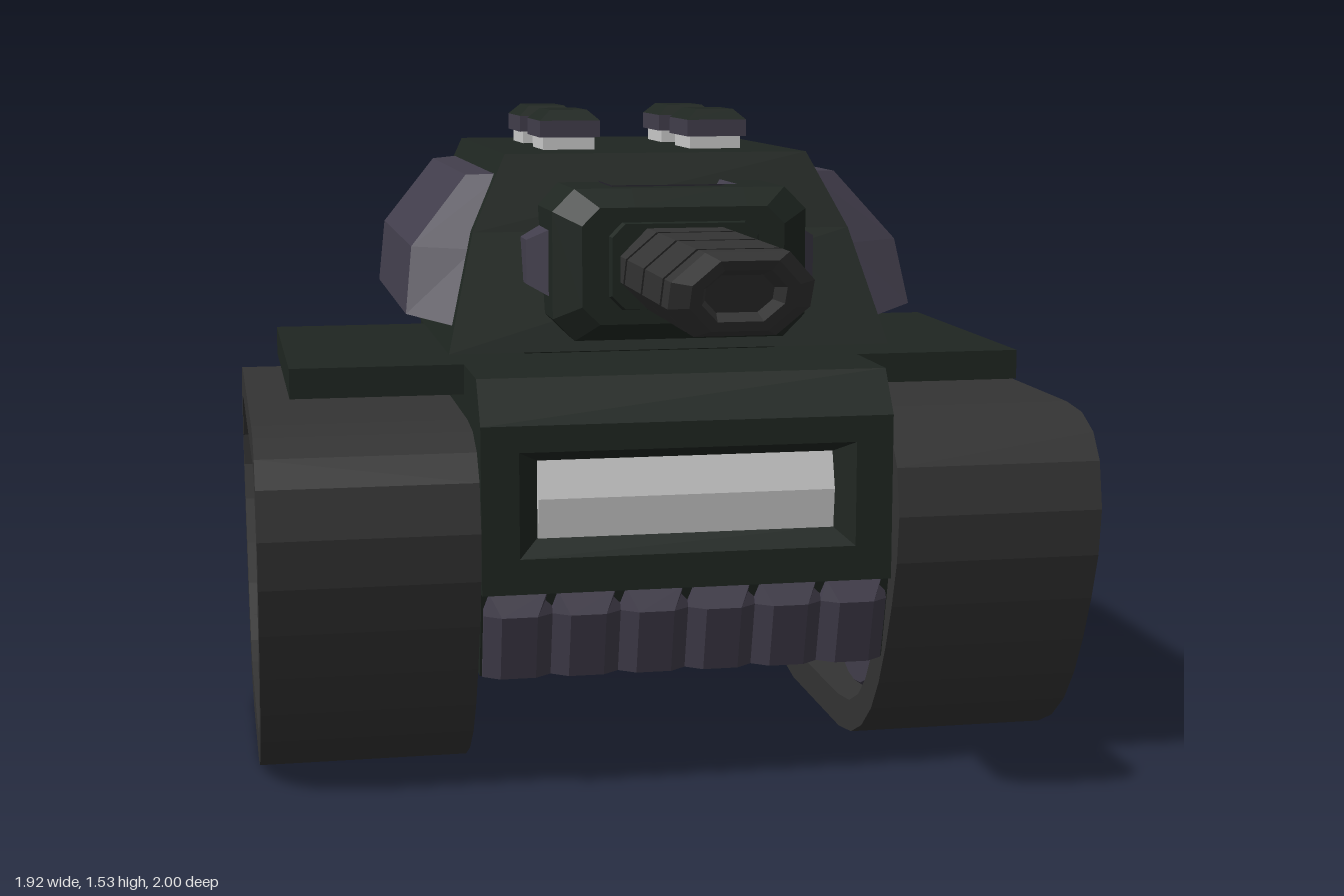
import * as THREE from 'three';

const mat = (color) => new THREE.MeshStandardMaterial({ color, flatShading: true, side: THREE.DoubleSide });

export function createModel() {
  const green = mat(0x1f2621), purple = mat(0x423e4c), rubber = mat(0x343434), grey = mat(0xcccccc);
  const model = new THREE.Group();

  const add = (name, geometry, material, parent = model) => {
    const mesh = new THREE.Mesh(geometry, material);
    mesh.name = name;
    parent.add(mesh);
    return mesh;
  };
  const box = (name, material, w, h, d, x, y, z, parent) =>
    add(name, new THREE.BoxGeometry(w, h, d).translate(x, y, z), material, parent);

  // Skin between matching cross-sections, with optional end caps
  const loft = (rings, capStart = true, capEnd = true, closed = true) => {
    const out = [], n = rings[0].length;
    const tri = (a, b, c) => out.push(...a, ...b, ...c);
    for (let i = 0; i + 1 < rings.length; i++) {
      for (let j = 0; j < (closed ? n : n - 1); j++) {
        const k = (j + 1) % n, p = rings[i], q = rings[i + 1];
        tri(p[j], p[k], q[k]);
        tri(p[j], q[k], q[j]);
      }
    }
    const last = rings[rings.length - 1];
    for (let j = 1; j + 1 < n; j++) {
      if (capStart) tri(rings[0][0], rings[0][j + 1], rings[0][j]);
      if (capEnd) tri(last[0], last[j], last[j + 1]);
    }
    const g = new THREE.BufferGeometry();
    g.setAttribute('position', new THREE.Float32BufferAttribute(out, 3));
    g.computeVertexNormals();
    return g;
  };
  // Upright four-sided section: half widths and z at bottom and top
  const upright = (w0, w1, y0, y1, z0, z1 = z0) =>
    [[-w0, y0, z0], [w0, y0, z0], [w1, y1, z1], [-w1, y1, z1]];
  // Level four-sided section
  const level = (w, y, front, back) =>
    [[-w, y, front], [w, y, front], [w, y, back], [-w, y, back]];
  // Upright octagon with cut corners
  const octagon = (w, h, cut, y, z, slope = 0) =>
    [[w, cut - h], [w, h - cut], [w - cut, h], [cut - w, h], [-w, h - cut], [-w, cut - h], [cut - w, -h], [w - cut, -h]]
      .map(([px, py]) => [px, y + py, z + (py - h) * slope]);
  // Side profile in (z, y), extruded across x
  const sideExtrude = (points, width, hole) => {
    const shape = new THREE.Shape(points.map(p => new THREE.Vector2(...p)));
    if (hole) shape.holes.push(new THREE.Path(hole.map(p => new THREE.Vector2(...p))));
    return new THREE.ExtrudeGeometry(shape, { depth: width, bevelEnabled: false })
      .translate(0, 0, -width / 2).rotateY(-Math.PI / 2);
  };

  // Hull, with a slot behind the front window plate
  add('hull', sideExtrude([
    [0.36, 0.957], [0.43, 0.86], [0.38, 0.86], [0.38, 0.48], [0.41, 0.48], [0.36, 0.28],
    [-0.945, 0.28], [-0.905, 0.42], [-0.905, 0.87], [-0.96, 0.957]], 0.94), green);
  const plate = new THREE.Shape(upright(0.47, 0.47, 0.48, 0.86, 0).map(p => new THREE.Vector2(p[0], p[1])));
  plate.holes.push(new THREE.Path(upright(0.385, 0.385, 0.56, 0.8, 0).map(p => new THREE.Vector2(p[0], p[1]))));
  add('frontPlate', new THREE.ExtrudeGeometry(plate, { depth: 0.05, bevelEnabled: false }).translate(0, 0, 0.38), green);
  add('windowFrame', loft([upright(0.385, 0.385, 0.56, 0.8, 0.43), upright(0.34, 0.34, 0.6, 0.775, 0.39)], false, false), green);
  // Window pane folded along its middle
  add('frontWindow', sideExtrude([[0.37, 0.6], [0.4, 0.6], [0.41, 0.69], [0.385, 0.775], [0.37, 0.775]], 0.68), grey);

  // Row of teeth along the lower front
  for (let i = 0; i < 6; i++) {
    const x = (i - 2.5) * 0.155;
    const section = (y, z, tip) => [[-0.0775, 0.3], [-0.0775, z - 0.03], [-tip, z], [tip, z], [0.0775, z - 0.03], [0.0775, 0.3]]
      .map(([px, pz]) => [x + px, y, pz]);
    add('frontTooth', loft([section(0.28, 0.4, 0.04), section(0.43, 0.44, 0.04), section(0.48, 0.412, 0.065)]), purple);
  }

  // Recessed rear hull panel with grille
  add('rearPanel', loft([
    upright(0.37, 0.37, 0.37, 0.87, -0.9), upright(0.335, 0.335, 0.44, 0.82, -1),
    upright(0.27, 0.27, 0.5, 0.76, -1), upright(0.24, 0.24, 0.54, 0.73, -0.94)], false), purple);
  box('rearGrille', grey, 0.48, 0.1, 0.02, 0, 0.68, -0.945);

  // Track outlines: front half mirrored to the back
  const middle = -0.2425;
  const mirrorOutline = (half) => [
    ...half.map(([d, y]) => [middle + d, y]),
    ...half.slice().reverse().map(([d, y]) => [middle - d, y])];
  const outer = mirrorOutline([[0.23, 0], [0.34, 0.018], [0.43, 0.06], [0.51, 0.125], [0.57, 0.205], [0.62, 0.3],
    [0.665, 0.41], [0.7, 0.52], [0.713, 0.63], [0.69, 0.74], [0.645, 0.8], [0.57, 0.835], [0.47, 0.845]]);
  const inner = mirrorOutline([[0.22, 0.08], [0.32, 0.092], [0.4, 0.13], [0.46, 0.185], [0.51, 0.26],
    [0.56, 0.36], [0.61, 0.47], [0.64, 0.56], [0.643, 0.64], [0.61, 0.72], [0.56, 0.755], [0.48, 0.765]]);
  // Wheels: dz, y, radius
  const wheels = [[0.275, 0.34, 0.238], [-0.275, 0.34, 0.238], [0.51, 0.63, 0.13], [0, 0.63, 0.142], [-0.51, 0.63, 0.13]];

  // Side armour section: base and raised points from top to bottom
  const base = [[0.36, 1.39], [0.36, 1.39], [0.44, 1.22], [0.49, 1.05], [0.49, 1.05]];
  const raised = [[0.36, 1.39], [0.445, 1.385], [0.58, 1.225], [0.6, 1.075], [0.49, 1.05]];
  const frontZ = y => 0.03 + (1.39 - y) * 0.39, backZ = y => -0.84 + (1.39 - y) * 0.29;

  for (const side of [1, -1]) {
    const half = new THREE.Group();
    half.name = side > 0 ? 'leftSide' : 'rightSide';
    half.scale.x = side;
    model.add(half);

    add('track', sideExtrude(outer, 0.485, inner).translate(0.7175, 0, 0), rubber, half);
    for (const [d, y, r] of wheels) {
      const profile = [[0, 0.5], [0.88 * r, 0.5], [r, 0.54], [r, 0.83], [0.92 * r, 0.87],
        [0.76 * r, 0.9], [0.68 * r, 0.9], [0.57 * r, 0.85], [0, 0.85]].map(p => new THREE.Vector2(...p));
      add('wheel', new THREE.LatheGeometry(profile, 24).rotateZ(-Math.PI / 2).translate(0, y, middle + d), purple, half);
    }
    box('fender', green, 0.42, 0.07, 0.8, 0.66, 0.922, -0.28, half);

    add('sideArmour', loft([
      base.map(([x, y]) => [x, y, frontZ(y)]),
      raised.map(([x, y], i) => [x, y, frontZ(y) - (i % 4 ? 0.05 : 0)]),
      raised.map(([x, y], i) => [x, y, backZ(y) + (i % 4 ? 0.05 : 0)]),
      base.map(([x, y]) => [x, y, backZ(y)])], false, false, false), purple, half);

    // Gun mount cheek
    add('mountCheek', loft([[0.28, 0.08, 0.26], [0.335, 0.05, 0.21]].map(([x, h, z]) =>
      [[x, 1.2 - h, 0.08], [x, 1.2 - h, z], [x, 1.2 + h, z], [x, 1.2 + h, 0.08]])), purple, half);
  }

  // Turret on its tapered neck
  add('turretNeck', loft([level(0.3, 0.95, -0.05, -0.5), level(0.345, 1.0, 0.01, -0.56)]), green);
  add('turret', loft([
    level(0.515, 0.995, 0.225, -0.765), level(0.445, 1.26, 0.112, -0.823), level(0.36, 1.435, 0.04, -0.86)]), green);
  add('turretRearPanel', loft([
    upright(0.34, 0.27, 1.1, 1.34, -0.78, -0.835), upright(0.3, 0.22, 1.12, 1.32, -0.89, -0.935),
    upright(0.22, 0.17, 1.17, 1.28, -0.9, -0.925), upright(0.2, 0.15, 1.18, 1.27, -0.84, -0.86)], false), purple);

  // Four roof hatches
  for (const x of [-0.18, 0.18]) for (const z of [-0.235, -0.595]) {
    const hatch = new THREE.Group();
    hatch.name = 'roofHatch';
    hatch.position.set(x, 1.435, z);
    model.add(hatch);
    box('hatchStem', grey, 0.125, 0.04, 0.18, 0, 0.015, 0, hatch);
    box('hatchRim', purple, 0.145, 0.04, 0.22, 0, 0.05, 0, hatch);
    add('hatchLid', loft([level(0.0725, 0.07, 0.11, -0.11), level(0.045, 0.095, 0.085, -0.085)]), green, hatch);
  }

  // Gun mount with a ramped, lined pocket in its top
  const pocket = (y, z, depth) => [[0.145, y, z], [0.11, y - depth, z], [-0.11, y - depth, z], [-0.145, y, z]];
  const mount = (w, h, cut, z, depth) => {
    const ring = octagon(w, h, cut, 1.2, z);
    ring.splice(3, 0, ...pocket(1.2 + h, z, depth));
    return ring;
  };
  add('gunMount', loft([
    mount(0.29, 0.17, 0.05, -0.05, 0.05), mount(0.29, 0.17, 0.05, 0.16, 0.05), mount(0.29, 0.17, 0.05, 0.25, 0),
    mount(0.29, 0.17, 0.05, 0.31, 0), mount(0.23, 0.13, 0.04, 0.355, 0)], false), green);
  add('pocketLining', loft([pocket(1.373, -0.05, 0.05), pocket(1.373, 0.16, 0.05), pocket(1.373, 0.25, 0)],
    false, false, false), purple);
  box('pocketGlass', grey, 0.215, 0.012, 0.14, 0, 1.322, 0.085);
  add('barrelCollar', loft([octagon(0.175, 0.1, 0.03, 1.2, 0.34), octagon(0.165, 0.095, 0.03, 1.2, 0.37)]), green);

  // Barrel: slanted sleeves around a pale core
  const sleeve = (z, w = 0.147, h = 0.09) => octagon(w, h, h * 0.68, 1.195, z, 0.6);
  add('barrelCore', loft([sleeve(0.36, 0.135, 0.082), sleeve(0.92, 0.135, 0.082)]), grey);
  for (const [z0, z1] of [[0.35, 0.477], [0.495, 0.684], [0.702, 0.892]]) {
    add('barrelSleeve', loft([sleeve(z0), sleeve(z1)]), rubber);
  }
  add('muzzle', loft([sleeve(0.91), sleeve(0.975), sleeve(1, 0.11, 0.075),
    sleeve(0.985, 0.085, 0.055), sleeve(0.93, 0.07, 0.04)], false), rubber);

  return model;
}
